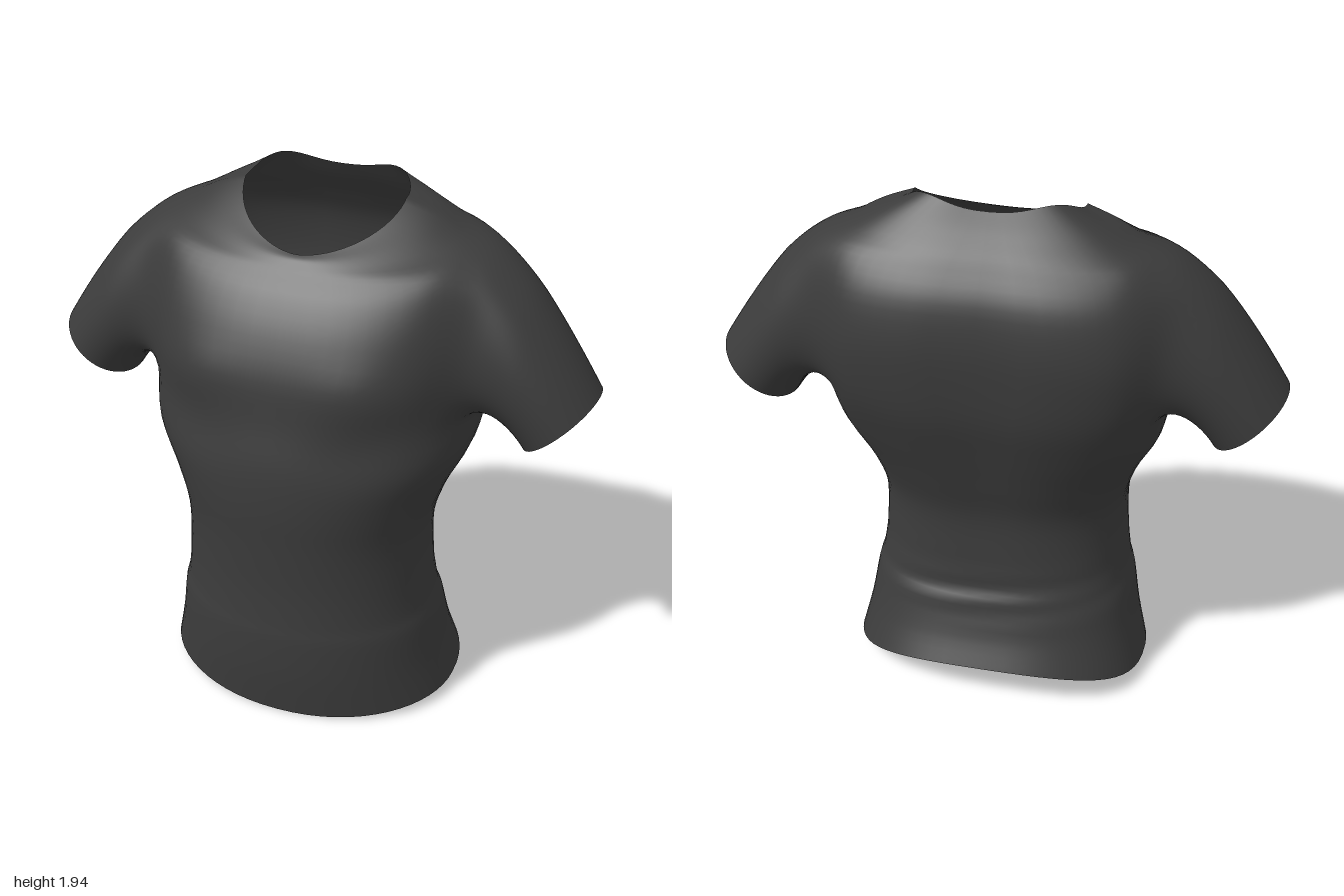
import * as THREE from 'three';

const N = 64;      // columns around the torso
const SUB = 4;     // rows between two key sections
const HOLE = 5;    // armhole half width in columns
const STEPS = 12;  // rings along a sleeve

// Key sections: half width, side z, front z, back z, side y, front y, back y
const SECTIONS = [
  [0.555, 0.00, 0.400, -0.410, 0.05, 0.005, 0.16],
  [0.518, 0.02, 0.425, -0.355, 0.20, 0.18, 0.26],
  [0.492, 0.04, 0.435, -0.315, 0.35, 0.34, 0.37],
  [0.470, 0.05, 0.432, -0.290, 0.43, 0.42, 0.44],
  [0.455, 0.06, 0.432, -0.280, 0.56, 0.56, 0.56],
  [0.453, 0.06, 0.445, -0.285, 0.74, 0.74, 0.74],
  [0.500, 0.04, 0.460, -0.335, 0.90, 0.90, 0.90],
  [0.575, 0.00, 0.458, -0.390, 1.06, 1.06, 1.06],
  [0.600, -0.07, 0.430, -0.440, 1.23, 1.22, 1.22], // armpit
  [0.610, -0.08, 0.408, -0.460, 1.36, 1.38, 1.38],
  [0.620, -0.08, 0.355, -0.460, 1.50, 1.52, 1.52],
  [0.630, -0.09, 0.290, -0.430, 1.65, 1.63, 1.66],
  [0.620, -0.09, 0.235, -0.370, 1.765, 1.695, 1.76], // shoulder
  [0.500, -0.09, 0.212, -0.325, 1.81, 1.723, 1.82],
  [0.390, -0.08, 0.197, -0.288, 1.865, 1.74, 1.87],
  [0.290, -0.07, 0.180, -0.255, 1.90, 1.75, 1.92], // neckline
];
const ARMPIT = 8 * SUB, SHOULDER = 12 * SUB, ROWS = (SECTIONS.length - 1) * SUB;

const bump = (v, centre, width) => Math.exp(-(((v - centre) / width) ** 2));
const { smoothstep } = THREE.MathUtils;

// Catmull-Rom value of every section column at row r
function sectionAt(r) {
  const i = Math.min(Math.floor(r / SUB), SECTIONS.length - 2), t = r / SUB - i;
  const key = (k) => SECTIONS[Math.max(0, Math.min(SECTIONS.length - 1, k))];
  return SECTIONS[i].map((_, c) => {
    const [a, b, d, e] = [key(i - 1)[c], key(i)[c], key(i + 1)[c], key(i + 2)[c]];
    return b + 0.5 * t * (d - a + t * (2 * a - 5 * b + 4 * d - e + t * (3 * (b - d) + e - a)));
  });
}

function torsoPoint(r, c) {
  const [w, zs, zf, zb, ys, yf, yb] = sectionAt(r);
  const k = r / SUB;
  const a = (c / N) * Math.PI * 2, front = Math.sin(a) >= 0;
  const s = Math.abs(Math.sin(a)), co = Math.cos(a);
  // Squarer across the chest and shoulder blades, more pointed at the neckline
  const e = front
    ? 0.95 - 0.15 * bump(k, 10, 2) + 0.2 * smoothstep(k, 12, 15)
    : 0.8 - 0.2 * bump(k, 9.7, 2);
  const p = 2 - 0.9 * smoothstep(k, 10.5, 12);
  const x = w * Math.sign(co) * Math.pow(Math.abs(co), e);
  let z = zs + ((front ? zf : zb) - zs) * Math.pow(s, e);
  let y = ys + ((front ? yf : yb) - ys) * Math.pow(s, p);
  if (front) {
    z += 0.014 * bump(Math.abs(x), 0.3, 0.14) * (bump(y, 1.36, 0.1) - bump(y, 1.14, 0.1)); // chest
  } else {
    z += 0.022 * bump(x, 0, 0.12) * bump(y, 1.3, 0.5); // spine groove
    z += 0.005 * s * Math.sin(y * 60 + x * 5) * bump(y, 0.42, 0.1); // waist folds
    y += 1.2 * Math.max(0, y - 1.8) * s * s * (1 - s * s); // raised collar corners
  }
  return new THREE.Vector3(x, y, z);
}

// Averages neighbouring points around the armholes to round off the seams
function relaxArmholes(points, index, passes) {
  const near = points.map(() => new Set());
  for (let i = 0; i < index.length; i += 3) {
    const tri = index.slice(i, i + 3);
    tri.forEach((v) => tri.forEach((n) => n !== v && near[v].add(n)));
  }
  for (let pass = 0; pass < passes; pass++) {
    const moved = points.map((point, v) => {
      const weight = Math.min(1, Math.max(0, 1.5 - Math.abs(Math.abs(point.x) - 0.6) / 0.1)) *
        smoothstep(point.y, 1.12, 1.25);
      if (weight === 0 || near[v].size === 0) return point;
      const mean = new THREE.Vector3();
      near[v].forEach((n) => mean.addScaledVector(points[n], 1 / near[v].size));
      return point.clone().lerp(mean, 0.5 * weight);
    });
    moved.forEach((point, v) => points[v].copy(point));
  }
}

export function createModel() {
  const points = [];
  const quad = (list, a, b, d, e, flip) =>
    flip ? list.push(a, b, d, b, e, d) : list.push(a, d, b, b, d, e);
  const id = (r, c) => r * N + ((c + N) % N);

  // Torso rings from hem to neckline, leaving out the two armholes
  const torso = [];
  for (let r = 0; r <= ROWS; r++) for (let c = 0; c < N; c++) points.push(torsoPoint(r, c));
  const inHole = (r, c) => r >= ARMPIT && r < SHOULDER &&
    [0, N / 2, N].some((m) => c >= m - HOLE && c < m + HOLE);
  for (let r = 0; r < ROWS; r++) for (let c = 0; c < N; c++) {
    if (!inHole(r, c)) quad(torso, id(r, c), id(r, c + 1), id(r + 1, c), id(r + 1, c + 1), false);
  }

  // Sleeve swept from the armhole edge to the oval cuff
  function sleeve(side) {
    const list = [], loop = [];
    const at = (r, k) => loop.push(id(r, side > 0 ? k : N / 2 - k));
    for (let k = 0; k < HOLE; k++) at(ARMPIT, k);
    for (let r = ARMPIT; r < SHOULDER; r++) at(r, HOLE);
    for (let k = HOLE; k > -HOLE; k--) at(SHOULDER, k);
    for (let r = SHOULDER; r > ARMPIT; r--) at(r, -HOLE);
    for (let k = -HOLE; k < 0; k++) at(ARMPIT, k);
    let previous = loop;
    for (let j = 1; j <= STEPS; j++) {
      const t = j / STEPS;
      const ring = loop.map((v, i) => {
        const a = (i / loop.length) * Math.PI * 2;
        const start = points[v];
        const cuff = new THREE.Vector3(
          side * (0.875 - 0.122 * Math.cos(a)), 1.187 - 0.107 * Math.cos(a), -0.072 + 0.2 * Math.sin(a));
        const reach = 0.73 * start.distanceTo(cuff);
        const bend = new THREE.Vector3(cuff.x - side * 0.53 * reach, cuff.y + 0.85 * reach,
          -0.075 + (cuff.z + 0.075) * 1.14);
        return points.push(new THREE.QuadraticBezierCurve3(start, bend, cuff).getPoint(t)) - 1;
      });
      ring.forEach((v, i) => {
        const n = (i + 1) % ring.length;
        quad(list, previous[i], previous[n], v, ring[n], side < 0);
      });
      previous = ring;
    }
    return list;
  }
  const parts = { torso, leftSleeve: sleeve(1), rightSleeve: sleeve(-1) };
  const index = Object.values(parts).flat();
  relaxArmholes(points, index, 10);

  // Shared normals keep the armhole seams smooth
  const whole = new THREE.BufferGeometry().setFromPoints(points);
  whole.setIndex(index);
  whole.computeVertexNormals();

  const material = new THREE.MeshStandardMaterial({ color: 0x3c3c3c, side: THREE.DoubleSide });
  const group = new THREE.Group();
  group.name = 'shirt';
  for (const [name, faces] of Object.entries(parts)) {
    const geometry = new THREE.BufferGeometry();
    geometry.setAttribute('position', whole.getAttribute('position'));
    geometry.setAttribute('normal', whole.getAttribute('normal'));
    geometry.setIndex(faces);
    const mesh = new THREE.Mesh(geometry, material);
    mesh.name = name;
    group.add(mesh);
  }
  return group;
}
